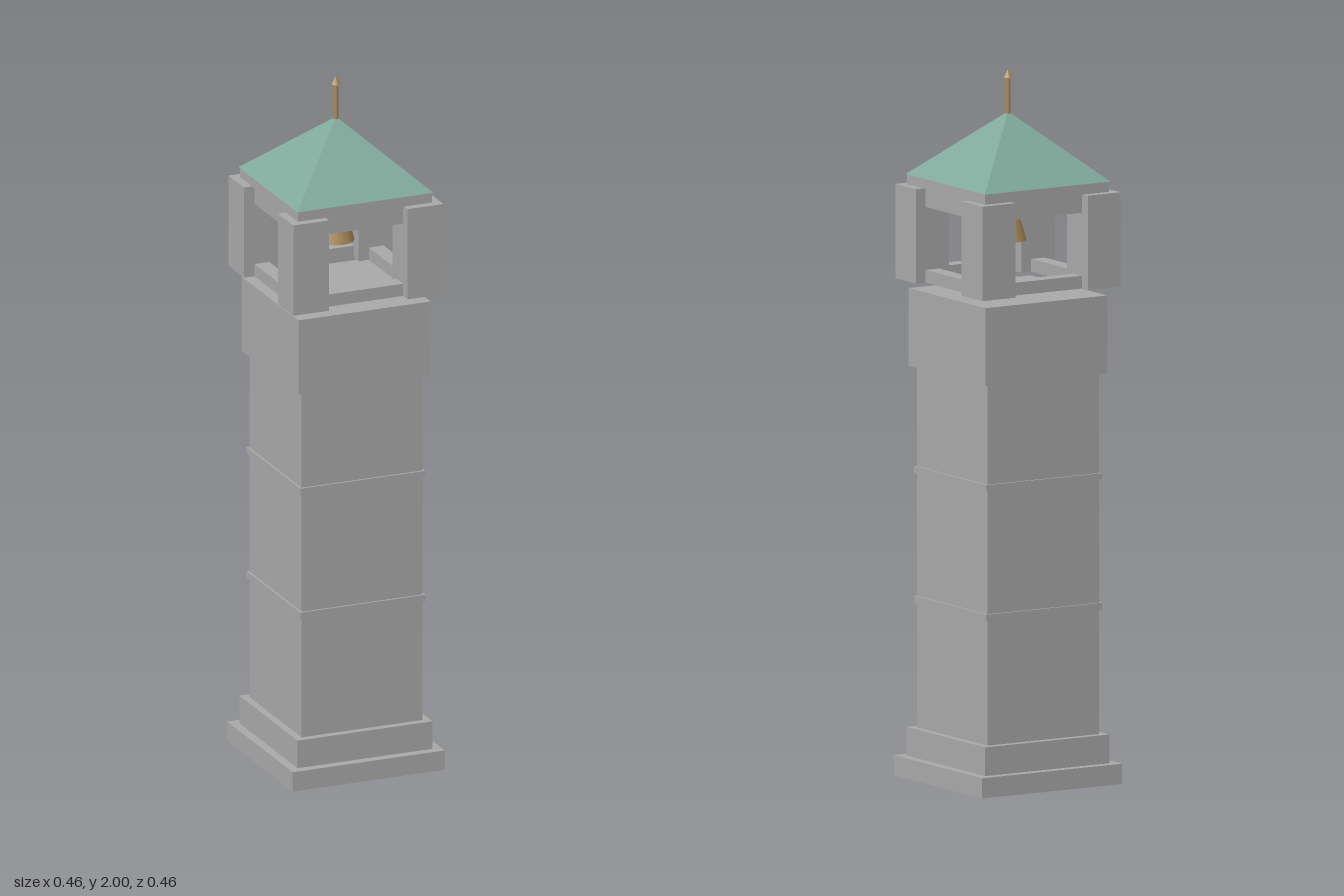
import * as THREE from 'three';

export function createModel() {
  const tower = new THREE.Group();
  tower.name = 'bellTower';

  const material = (name, color) => {
    const m = new THREE.MeshStandardMaterial({ color });
    m.name = name;
    return m;
  };
  const stone = material('stone', 0xa8a8a8);
  const copper = material('patinaCopper', 0x7fa99b);
  const bronze = material('bronze', 0xa98b5a);

  const add = (name, geometry, mat, x = 0, y = 0, z = 0, parent = tower) => {
    const mesh = new THREE.Mesh(geometry, mat);
    mesh.name = name;
    mesh.position.set(x, y, z);
    parent.add(mesh);
    return mesh;
  };
  // Square block given by its half width and its bottom and top heights
  const block = (name, half, y0, y1) =>
    add(name, new THREE.BoxGeometry(half * 2, y1 - y0, half * 2), stone, 0, (y0 + y1) / 2, 0);

  // Stepped base, shaft with string courses, and the wider upper stage
  block('plinth', 0.23, 0, 0.057);
  block('baseStep', 0.204, 0.057, 0.138);
  block('shaft', 0.183, 0.138, 1.155);
  block('lowerBand', 0.189, 0.488, 0.508);
  block('upperBand', 0.189, 0.855, 0.873);
  block('upperStage', 0.2, 1.155, 1.374);

  // Open belfry: corner piers
  for (const x of [-1, 1]) for (const z of [-1, 1]) {
    add('cornerPier', new THREE.BoxGeometry(0.108, 0.266, 0.108), stone, x * 0.173, 1.533, z * 0.173);
  }

  // Sill and lintel between the piers on each side
  for (let i = 0; i < 4; i++) {
    const side = new THREE.Group();
    side.name = 'belfryOpening';
    side.rotation.y = i * Math.PI / 2;
    tower.add(side);
    add('sill', new THREE.BoxGeometry(0.24, 0.036, 0.045), stone, 0, 1.418, 0.173, side);
    add('lintel', new THREE.BoxGeometry(0.24, 0.053, 0.045), stone, 0, 1.64, 0.173, side);
  }

  // Bell on its cross beam
  const beam = add('bellBeam', new THREE.CylinderGeometry(0.009, 0.009, 0.3, 8), bronze, 0, 1.611, 0);
  beam.rotation.z = Math.PI / 2;
  add('bell', new THREE.CylinderGeometry(0.03, 0.052, 0.077, 16), bronze, 0, 1.559, 0);

  // Eaves slab and pyramid roof
  block('eaves', 0.203, 1.666, 1.695);
  const roofShape = new THREE.ConeGeometry(0.206 * Math.SQRT2, 0.187, 4, 1).rotateY(Math.PI / 4).toNonIndexed();
  roofShape.computeVertexNormals();
  add('roof', roofShape, copper, 0, 1.7885, 0);

  // Finial
  add('finialRod', new THREE.CylinderGeometry(0.007, 0.007, 0.11, 8), bronze, 0, 1.927, 0);
  add('finialTip', new THREE.ConeGeometry(0.014, 0.022, 8), bronze, 0, 1.989, 0);

  return tower;
}
